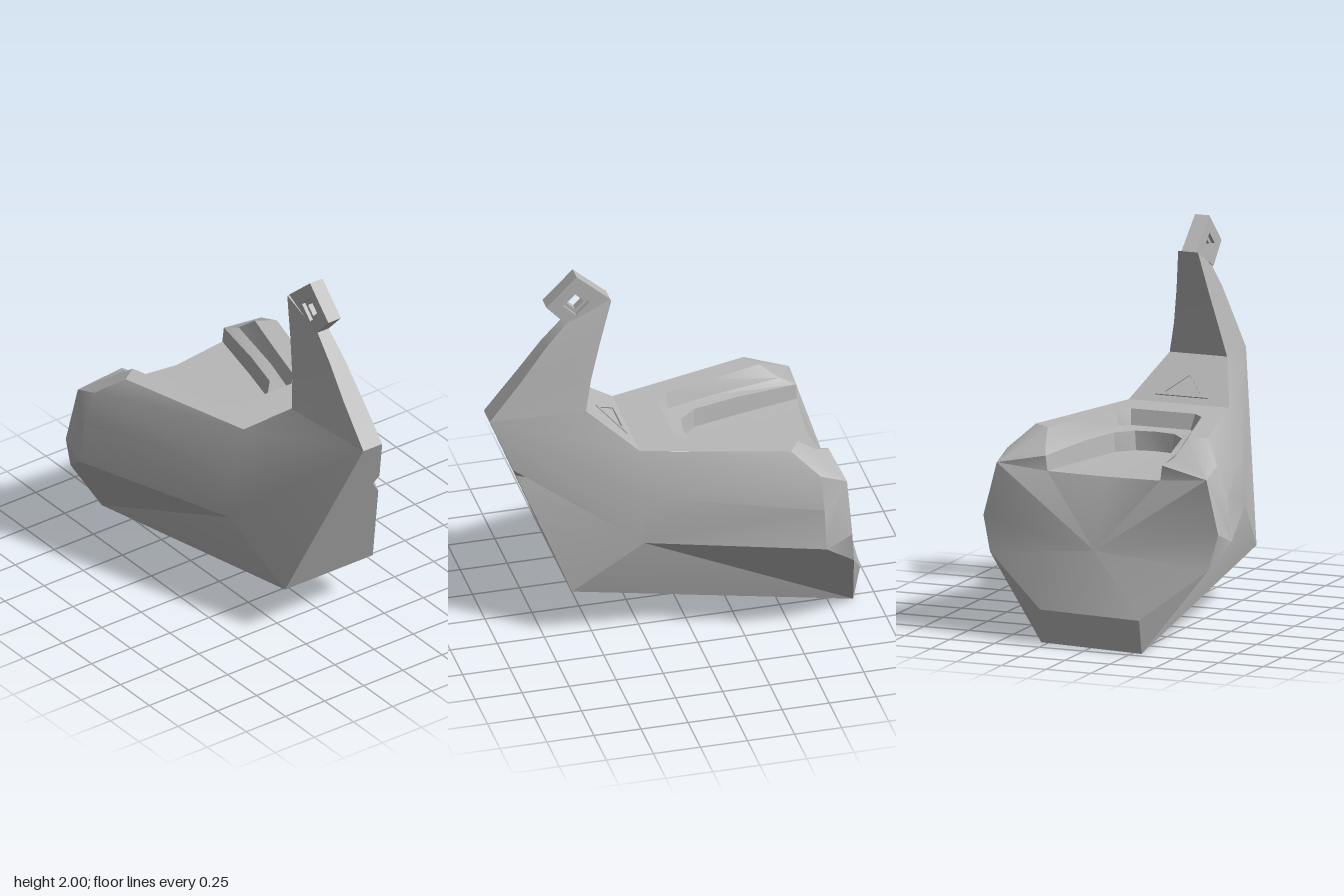
import * as THREE from 'three';
import { toCreasedNormals } from 'three/addons/utils/BufferGeometryUtils.js';

const grey = new THREE.MeshStandardMaterial({ color: 0xb8b8b8 });
grey.name = 'stone grey';

// Collects triangles; shell() turns faces away from an inner point.
function makeSurface(inner) {
  const data = [];
  const c = new THREE.Vector3(...inner);
  const tri = (a, b, d) => data.push(...a, ...b, ...d);
  const shell = (...p) => {
    for (let i = 1; i < p.length - 1; i++) {
      const [a, b, d] = [p[0], p[i], p[i + 1]].map((v) => new THREE.Vector3(...v));
      const n = b.clone().sub(a).cross(d.clone().sub(a));
      const mid = a.clone().add(b).add(d).divideScalar(3).sub(c);
      if (n.dot(mid) >= 0) tri(p[0], p[i], p[i + 1]);
      else tri(p[0], p[i + 1], p[i]);
    }
  };
  const strip = (a, b) => {
    for (let i = 0; i < a.length - 1; i++) {
      tri(a[i], b[i], b[i + 1]);
      tri(a[i], b[i + 1], a[i + 1]);
    }
  };
  const mesh = (name, crease) => {
    const g = new THREE.BufferGeometry();
    g.setAttribute('position', new THREE.Float32BufferAttribute(data, 3));
    const m = new THREE.Mesh(toCreasedNormals(g, crease), grey);
    m.name = name;
    return m;
  };
  return { tri, shell, strip, mesh };
}

// Half a path, ending on the centre line, mirrored to the other side.
const mirrorPath = (half) => [
  ...half,
  ...half.slice(0, -1).reverse().map(([x, y, z]) => [-x, y, z]),
];

function makeBody() {
  const s = makeSurface([0, 0.5, -0.15]);

  // Deck and stepped U-shaped recess, from the outer edge inward
  const level = (y, pts, y0 = y) => mirrorPath(pts.map(([x, z], i) => [x, i ? y : y0, z]));
  const edge = level(1.06, [[0.48, -0.5], [0.41, -0.24], [0.28, 0.25], [0.14, 0.25], [0, 0.25]]);
  const rim = level(1.06, [[0.39, -0.56], [0.31, -0.28], [0.24, -0.02], [0.18, 0.04], [0, 0.04]]);
  const ledge = level(0.98, [[0.36, -0.66], [0.285, -0.28], [0.215, -0.03], [0.165, 0.01], [0, 0.01]]);
  const lip = level(0.97, [[0.325, -0.74], [0.25, -0.4], [0.19, -0.16], [0.11, -0.07], [0, -0.055]], 0.95);
  const floor = level(0.87, [[0.315, -0.74], [0.24, -0.4], [0.18, -0.16], [0.1, -0.08], [0, -0.065]]);
  s.strip(edge, rim);
  s.strip(rim, ledge);
  s.strip(ledge, lip);
  s.strip(lip, floor);
  const floorBack = [0, 0.86, -0.71];
  for (let i = 0; i < floor.length - 1; i++) s.tri(floor[i], floorBack, floor[i + 1]);

  const P = (k) => ([x, y, z]) => [k * x, y, z];
  const bottomBack = (k) => (k > 0 ? [0.29, 0, -0.88] : [-0.3, 0, -0.95]);
  const backBulge = (k) => (k > 0 ? [0.28, 0.18, -0.92] : [-0.3, 0.18, -0.985]);
  const backMid = [0, 0.5, -0.865];
  const corners = [];

  for (const k of [1, -1]) {
    const [foot, tip, creaseStart, frontMid, neckBase, deckFront] = [
      [0.28, 0.27, 0.61], [0.06, 1.22, 0.99], [0.37, 0.56, 0.25],
      [0.35, 0.82, 0.25], [0.16, 1.27, 0.505], [0.28, 1.06, 0.25],
    ].map(P(k));
    const [wide, wideMid, shoulder, deckBack] = [
      [0.67, 0.56, -0.64], [0.645, 0.78, -0.635], [0.585, 0.95, -0.63], [0.48, 1.06, -0.5],
    ].map(P(k));
    const [low, backWide, backTop] = [
      [0.61, 0.435, -0.8], [0.655, 0.62, -0.78], [0.585, 0.9, -0.77],
    ].map(P(k));
    const j = k > 0 ? 0 : rim.length - 1;
    const base = bottomBack(k), bulge = backBulge(k);
    corners.push({ foot, tip, base, bulge, neckBase, deckFront });

    // Front flank, with a small chip in one edge
    if (k > 0) {
      const [n0, nd, n1, ni] = [
        [0.153, 0.82, 0.83], [0.135, 0.9, 0.8], [0.122, 0.95, 0.882], [0.095, 0.9, 0.862],
      ];
      s.shell(creaseStart, foot, n0, nd, n1, tip);
      s.shell(n0, ni, nd);
      s.shell(n1, ni, nd);
      corners[0].chip = [n0, ni, n1];
    } else s.shell(creaseStart, foot, tip);
    s.shell(tip, creaseStart, frontMid, deckFront, neckBase);

    // Rounded upper flank
    s.shell(creaseStart, wide, wideMid, frontMid);
    s.shell(frontMid, wideMid, shoulder);
    s.shell(frontMid, shoulder, deckFront);
    s.shell(deckFront, shoulder, deckBack);

    // Lower flank
    s.shell(creaseStart, foot, base);
    s.shell(creaseStart, base, low, wide);

    // Rear corner chamfers
    s.shell(wide, low, backWide);
    s.shell(wide, wideMid, backTop, backWide);
    s.shell(wideMid, shoulder, backTop);
    s.shell(backTop, shoulder, deckBack, rim[j], ledge[j], lip[j]);

    // Half of the domed back
    s.shell(base, low, bulge);
    s.shell(backMid, bulge, low, backWide, backTop, floor[j], floorBack);
    s.shell(backTop, lip[j], floor[j]);
  }

  // Centre panels: underside, prow, back and slope up to the neck
  const [r, l] = corners;
  s.shell(r.foot, l.foot, l.base, r.base);
  s.shell(l.foot, r.foot, ...r.chip, r.tip, l.tip);
  s.shell(r.base, l.base, l.bulge, r.bulge);
  s.shell(r.bulge, l.bulge, backMid);
  s.shell(r.deckFront, l.deckFront, l.neckBase, r.neckBase);
  return s.mesh('body', 0.42);
}

// Tapering neck: front and rear half widths at each height
function makeNeck() {
  const s = makeSurface([0, 1.48, 0.6]);
  const rings = [
    [0.06, 1.22, 0.99, 0.16, 1.27, 0.505, 0],
    [0.055, 1.43, 0.82, 0.125, 1.43, 0.468, -0.004],
    [0.045, 1.6, 0.69, 0.09, 1.62, 0.41, -0.008],
    [0.035, 1.725, 0.575, 0.055, 1.84, 0.34, -0.012],
  ].map(([fx, fy, fz, rx, ry, rz, c]) => [
    [c + fx, fy, fz], [c + rx, ry, rz], [c - rx, ry, rz], [c - fx, fy, fz],
  ]);
  for (let i = 0; i < rings.length - 1; i++) {
    for (let j = 0; j < 4; j++) {
      const n = (j + 1) % 4;
      s.shell(rings[i][j], rings[i][n], rings[i + 1][n], rings[i + 1][j]);
    }
  }
  s.shell(...rings[3]);
  return s.mesh('neck', 0.42);
}

// Head block with a stepped diamond opening, in three layers
function makeHead() {
  const head = new THREE.Group();
  head.name = 'head';
  const layer = (name, hole, x, width) => {
    const shape = new THREE.Shape(
      [[-0.52, 2], [-0.68, 1.84], [-0.575, 1.725], [-0.34, 1.84]].map((p) => new THREE.Vector2(...p)));
    shape.holes.push(new THREE.Path(
      [[0, hole], [hole, 0], [0, -hole], [-hole, 0]].map(([a, b]) => new THREE.Vector2(a - 0.522, b + 1.84))));
    const g = new THREE.ExtrudeGeometry(shape, { depth: width, bevelEnabled: false });
    g.rotateY(Math.PI / 2).translate(x, 0, 0);
    const m = new THREE.Mesh(g, grey);
    m.name = name;
    head.add(m);
  };
  layer('headRightLayer', 0.07, -0.055, 0.02);
  layer('headCore', 0.045, -0.035, 0.04);
  layer('headLeftLayer', 0.07, 0.005, 0.02);
  return head;
}

// Thin triangular frame on the slope behind the neck
function makeTriangle() {
  const tri = (w, y0, y1) => [[-w, y0], [w, y0], [0, y1]].map((p) => new THREE.Vector2(...p));
  const shape = new THREE.Shape(tri(0.145, 0.045, 0.215));
  shape.holes.push(new THREE.Path(tri(0.1, 0.063, 0.185)));
  const g = new THREE.ExtrudeGeometry(shape, { depth: 0.007, bevelEnabled: false });
  const m = new THREE.Mesh(g, grey);
  m.name = 'triangleFrame';
  m.position.set(0, 1.06, 0.25);
  m.rotation.set(Math.atan2(0.255, 0.21), Math.PI, 0);
  return m;
}

export function createModel() {
  const model = new THREE.Group();
  model.name = 'carvedSeat';
  model.add(makeBody(), makeNeck(), makeHead(), makeTriangle());
  return model;
}
